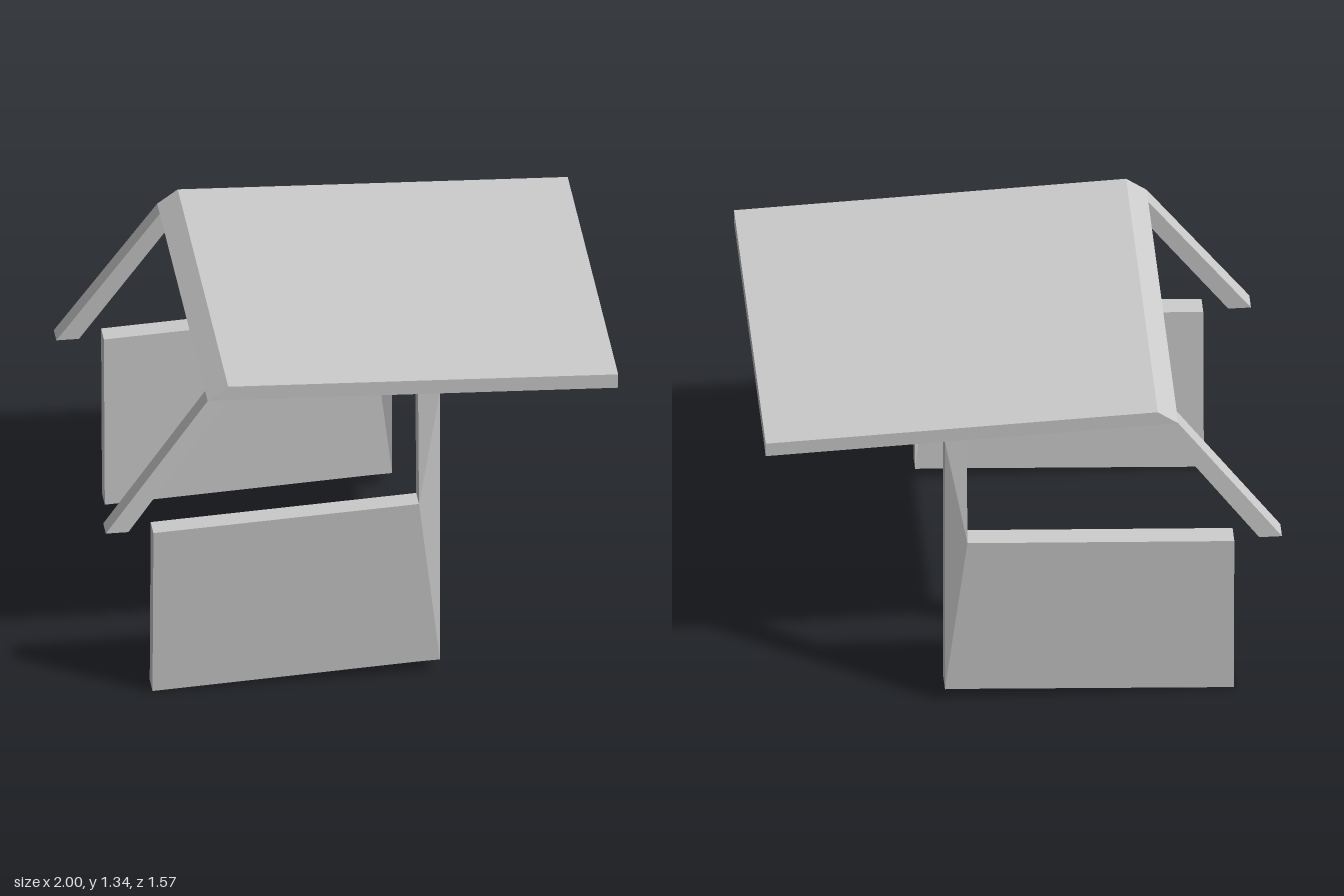
import * as THREE from 'three';

const material = new THREE.MeshStandardMaterial({ color: 0xcccccc, flatShading: true });

// Solid plate from a counter-clockwise outline of [x, y, outer z], its faces
// split by tris. side is +1 or -1 and mirrors the plate across z = 0.
function plate(name, outline, tris, thickness, side) {
  const positions = [];
  const front = ([x, y, z]) => [x, y, side > 0 ? z : thickness - z];
  const back = ([x, y, z]) => [x, y, side > 0 ? z - thickness : -z];
  const tri = (...corners) => corners.forEach((c) => positions.push(...c));

  for (const [a, b, c] of tris) {
    tri(front(outline[a]), front(outline[b]), front(outline[c]));
    tri(back(outline[a]), back(outline[c]), back(outline[b]));
  }
  // Rim
  outline.forEach((p, i) => {
    const q = outline[(i + 1) % outline.length];
    tri(back(p), back(q), front(q));
    tri(back(p), front(q), front(p));
  });

  const geometry = new THREE.BufferGeometry();
  geometry.setAttribute('position', new THREE.Float32BufferAttribute(positions, 3));
  geometry.computeVertexNormals();
  const mesh = new THREE.Mesh(geometry, material);
  mesh.name = name;
  return mesh;
}

export function createModel() {
  const model = new THREE.Group();
  model.name = 'cabShell';

  // Gently sloping roof with a bevelled windscreen edge
  const roof = [[-0.6, 1.288], [-0.52, 1.286], [1, 1.226], [1, 1.286], [-0.52, 1.346]]
    .map(([x, y]) => [x, y, 0.757]);
  model.add(plate('roof', roof, [[0, 1, 4], [1, 2, 3], [1, 3, 4]], 1.514, 1));

  // Door panel and rear post in one piece, bulging outward at the waistline
  const door = [
    [-0.815, 0.003, 0.757], [0.22, 0.057, 0.757], [0.305, 0.06, 0.757],
    [0.305, 1.254, 0.757], [0.22, 1.257, 0.757],
    [0.22, 0.78, 0.785], [-0.815, 0.728, 0.785],
  ];
  const doorTris = [[0, 1, 5], [0, 5, 6], [1, 2, 5], [2, 3, 5], [5, 3, 4]];

  // Slanted windscreen pillar, splaying outward toward its foot
  const pillar = [
    [-1, 0.737, 0.78], [-0.912, 0.737, 0.78], [-0.52, 1.286, 0.757], [-0.6, 1.288, 0.757],
  ];

  for (const side of [1, -1]) {
    const prefix = side > 0 ? 'left' : 'right';
    model.add(plate(prefix + 'DoorAndPost', door, doorTris, 0.085, side));
    model.add(plate(prefix + 'WindscreenPillar', pillar, [[0, 1, 2], [0, 2, 3]], 0.078, side));
  }
  return model;
}
